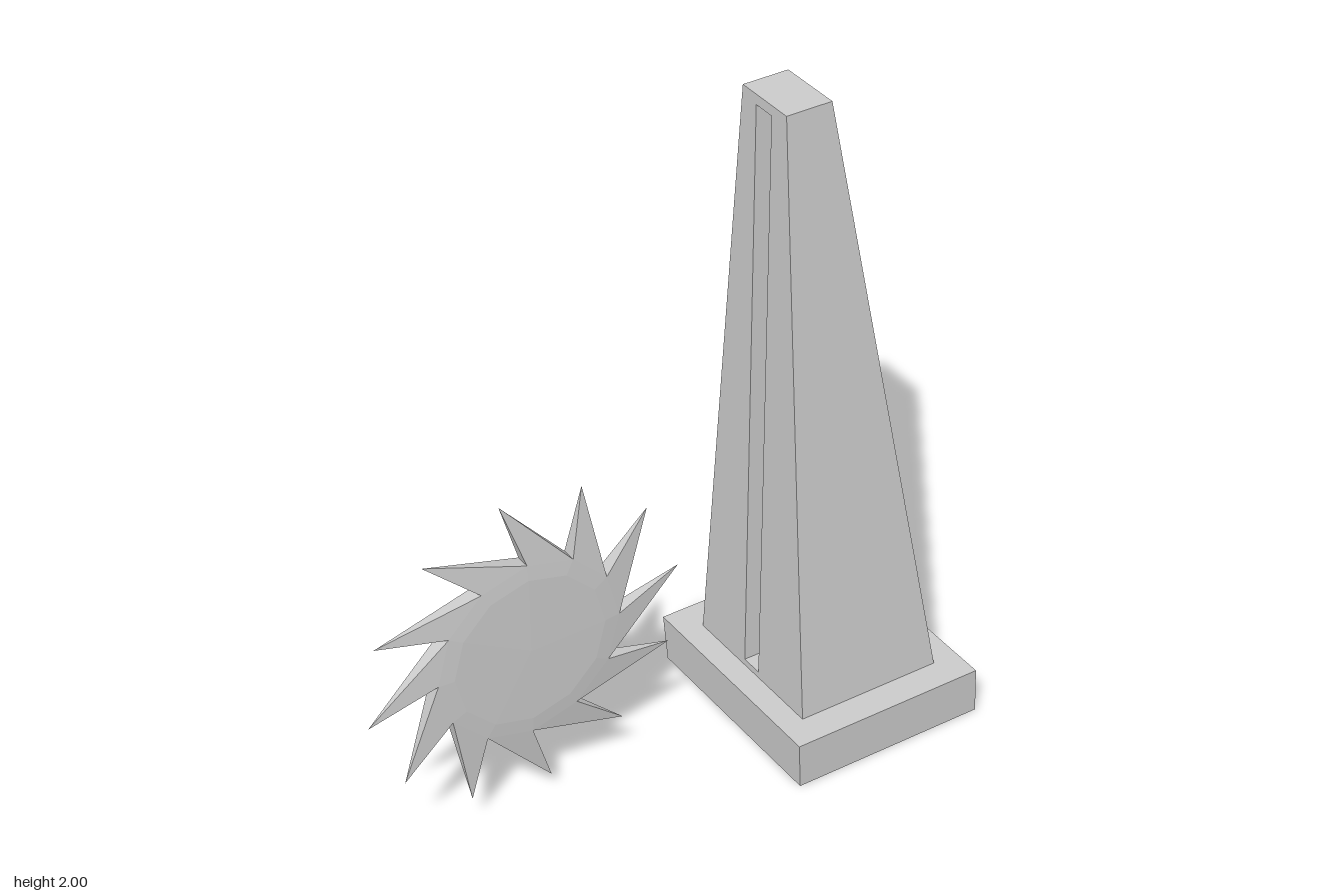
import * as THREE from 'three';

const material = new THREE.MeshStandardMaterial({ color: 0xcccccc, flatShading: true });

// Mesh from a flat list of corner points, three per face
function facetMesh(name, points) {
  const geometry = new THREE.BufferGeometry().setFromPoints(points);
  geometry.computeVertexNormals();
  const mesh = new THREE.Mesh(geometry, material);
  mesh.name = name;
  return mesh;
}

const P = (x, y, z) => new THREE.Vector3(x, y, z);
const quad = (a, b, c, d) => [a, b, c, a, c, d];

// Horizontal rectangle, counter-clockwise from above, starting front left
const rect = (y, x0, x1, z0, z1) => [P(x0, y, z1), P(x1, y, z1), P(x1, y, z0), P(x0, y, z0)];

// Quads joining two four-cornered loops
function band(a, b, sides = [0, 1, 2, 3]) {
  return sides.flatMap((i) => quad(a[i], a[(i + 1) % 4], b[(i + 1) % 4], b[i]));
}

// Slightly skewed plinth
function createBase() {
  const bottom = rect(0, 0.27, 0.88, -0.335, 0.338);
  const top = rect(0.15, 0.26, 0.87, -0.345, 0.342);
  return facetMesh('base', [...band(bottom, top), ...quad(...top), ...quad(...[...bottom].reverse())]);
}

// Tapered tower with a narrow vertical slot in its upright face
function createTower() {
  const x = 0.335;
  const bottom = rect(0.15, x, 0.79, -0.25, 0.25);
  const top = rect(2, x, 0.475, -0.097, 0.097);
  const outer = [bottom[3], bottom[0], top[0], top[3]];
  const slotLoop = (sx) => [P(sx, 0.17, -0.036), P(sx, 0.17, 0.032), P(sx, 1.97, 0.032), P(sx, 1.97, -0.036)];
  const mouth = slotLoop(x);
  const back = slotLoop(x + 0.1);
  return facetMesh('slottedTower', [
    ...band(bottom, top, [0, 1, 2]),
    ...quad(...top),
    ...band(outer, mouth),
    ...band(mouth, back),
    ...quad(...back),
  ]);
}

// Twelve-toothed blade: shallow domed disc with swept pyramid teeth
function createBlade() {
  const teeth = 12;
  const step = (Math.PI * 2) / teeth;
  const start = THREE.MathUtils.degToRad(0.5);
  const sweep = THREE.MathUtils.degToRad(37.8);
  const polar = (r, a, z) => P(r * Math.cos(a), r * Math.sin(a), z);
  const points = [];
  for (let k = 0; k < teeth; k++) {
    const a = start + k * step;
    const b = a + step;
    const tip = polar(0.49, a + sweep, 0);
    for (const s of [1, -1]) {
      const root0 = polar(0.282, a, s * 0.022);
      const root1 = polar(0.282, b, s * 0.022);
      const ring0 = polar(0.235, a, s * 0.026);
      const ring1 = polar(0.235, b, s * 0.026);
      const side = [
        P(0, 0, s * 0.028), ring0, ring1,
        ...quad(ring0, root0, root1, ring1),
        root0, tip, root1,
      ];
      points.push(...(s > 0 ? side : side.reverse()));
    }
    // Tooth edges
    points.push(polar(0.282, a, -0.022), tip, polar(0.282, a, 0.022));
    points.push(polar(0.282, b, 0.022), tip, polar(0.282, b, -0.022));
  }
  const blade = facetMesh('sawBlade', points);
  blade.position.set(-0.395, 0.556, -0.012);
  return blade;
}

export function createModel() {
  const model = new THREE.Group();
  model.name = 'towerWithSawBlade';
  model.add(createBase(), createTower(), createBlade());
  return model;
}
